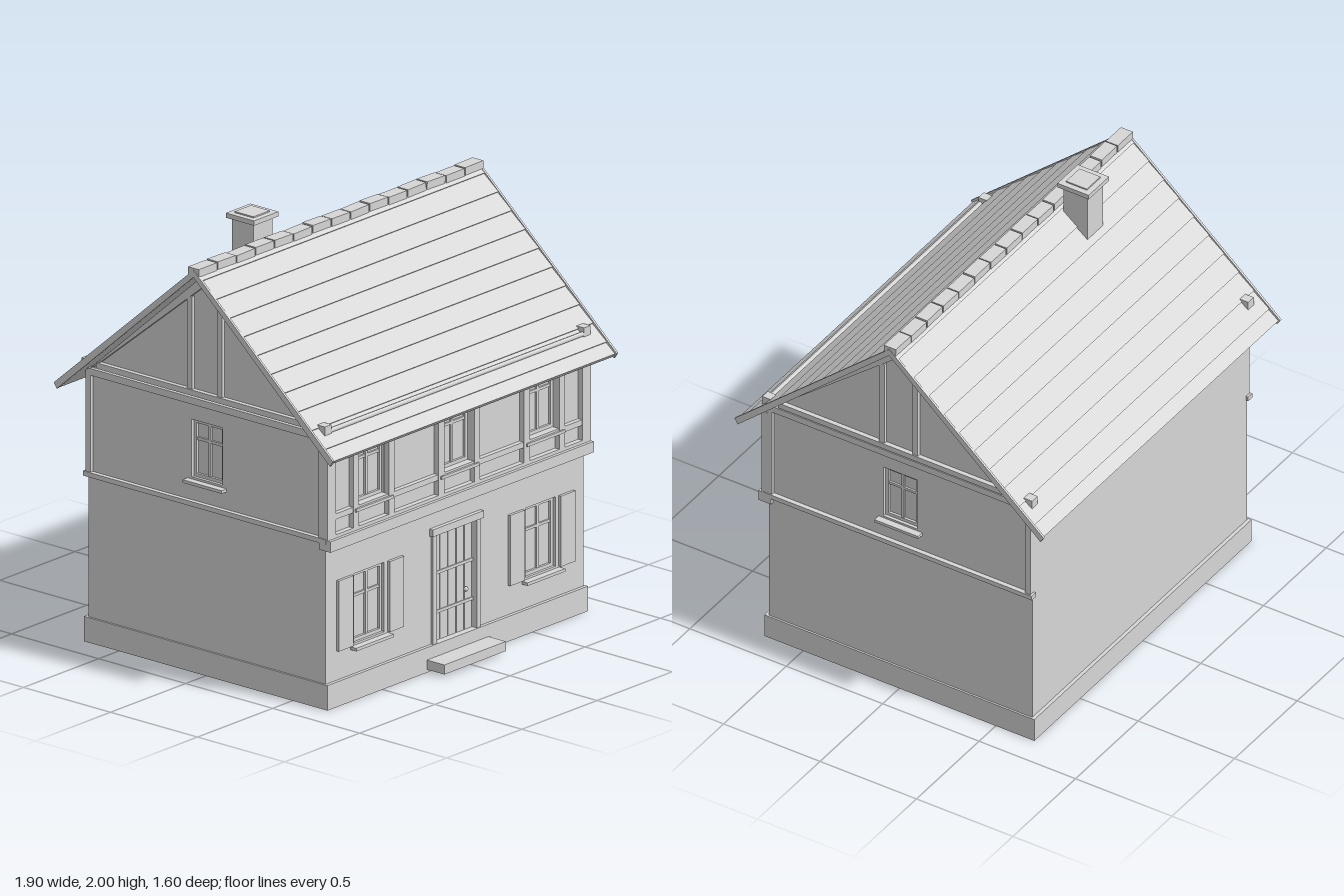
import * as THREE from 'three';

export function createModel() {
  const model = new THREE.Group();
  model.name = 'house';
  const grey = new THREE.MeshStandardMaterial({ color: 0xd6d6d6 });
  grey.name = 'plain grey';

  const add = (name, geometry, parent = model) => {
    const mesh = new THREE.Mesh(geometry, grey);
    mesh.name = name;
    parent.add(mesh);
    return mesh;
  };
  const group = (name, parent = model) => {
    const g = new THREE.Group();
    g.name = name;
    parent.add(g);
    return g;
  };
  // Box between two corners
  const box = (name, x0, x1, y0, y1, z0, z1, parent) =>
    add(name, new THREE.BoxGeometry(x1 - x0, y1 - y0, z1 - z0)
      .translate((x0 + x1) / 2, (y0 + y1) / 2, (z0 + z1) / 2), parent);
  const rect = (x0, x1, y0, y1) => [[x0, y0], [x1, y0], [x1, y1], [x0, y1]]
    .map(([x, y]) => new THREE.Vector2(x, y));
  // Thick plate with holes, its front face at z = 0
  const plate = (points, holes, depth) => {
    const s = new THREE.Shape(points);
    holes.forEach(h => s.holes.push(new THREE.Path(h)));
    return new THREE.ExtrudeGeometry(s, { depth, bevelEnabled: false }).translate(0, 0, -depth);
  };

  const W = 0.857, D = 0.683;          // half width and half depth of the walls
  const T = 0.075;                     // wall thickness
  const SLOPE = 0.8825;                // roof fall per unit of depth
  const WALL_APEX = 1.845;
  const eaveY = WALL_APEX - D * SLOPE;

  // Extrude a (z, y) outline along x
  const alongX = (points, x0, x1) =>
    new THREE.ExtrudeGeometry(new THREE.Shape(points), { depth: x1 - x0, bevelEnabled: false })
      .rotateY(Math.PI / 2).translate(x0, 0, 0);
  // Mirror half an outline about the ridge; it runs from the apex down and round the eave
  const mirrored = (half, apexUnder) => {
    const right = half.map(([z, y]) => new THREE.Vector2(z, y));
    const left = half.slice(1).reverse().map(([z, y]) => new THREE.Vector2(-z, y));
    return [...right, new THREE.Vector2(0, apexUnder), ...left];
  };

  // Thick walls with openings for the windows and the door
  const windowX = [-0.57, 0.57], upperX = [-0.57, 0, 0.57];
  const openings = [
    ...windowX.map(x => rect(x - 0.1, x + 0.1, 0.255, 0.575)),
    ...upperX.map(x => rect(x - 0.1, x + 0.1, 0.895, 1.19)),
    rect(-0.137, 0.137, 0.1, 0.615),
  ];
  add('frontWall', plate(rect(-W, W, 0.004, eaveY), openings, T).translate(0, 0, D));
  add('backWall', plate(rect(-W, W, 0.004, eaveY), [], T).rotateY(Math.PI).translate(0, 0, -D));
  const d = D - 0.001;
  const gableOutline = [[-d, 0.004], [d, 0.004], [d, eaveY], [0, WALL_APEX], [-d, eaveY]]
    .map(([x, y]) => new THREE.Vector2(x, y));
  for (const s of [-1, 1]) {
    add('gableWall', plate(gableOutline, [rect(-0.088, 0.088, 0.895, 1.16)], T)
      .rotateY(s * Math.PI / 2).translate(s * (W + 0.001), 0, 0));
  }

  // Plinth ring
  add('plinth', plate(rect(-0.867, 0.867, -0.7, 0.7), [rect(-0.8, 0.8, -0.63, 0.63)], 0.115)
    .rotateX(-Math.PI / 2).translate(0, 0.115, 0));

  // Window built facing +z around its own centre line, y from 0 to h
  const makeWindow = (w, h) => {
    const g = group('window');
    const f = 0.016, a = w / 2;
    box('glass', -a, a, 0, h, -0.04, -0.026, g);
    for (const s of [-1, 1]) {
      const x = s * (a - f / 2);
      box('frameSide', x - f / 2, x + f / 2, 0, h, -0.038, -0.014, g);
    }
    box('frameBottom', -a + f, a - f, 0, f, -0.038, -0.014, g);
    box('frameTop', -a + f, a - f, h - f, h, -0.038, -0.014, g);
    box('mullion', -0.007, 0.007, f, h - f, -0.03, -0.016, g);
    box('transom', -a + f, a - f, h * 0.64, h * 0.64 + 0.013, -0.03, -0.017, g);
    box('sill', -a - 0.025, a + 0.025, -0.024, -0.01, -0.01, 0.034, g);
    return g;
  };

  // Ground floor windows with shutters
  for (const x of windowX) {
    makeWindow(0.2, 0.32).position.set(x, 0.255, D);
    for (const s of [-1, 1]) {
      const c = x + s * 0.169;
      box('shutter', c - 0.048, c + 0.048, 0.25, 0.575, D - 0.005, D + 0.014);
    }
  }
  // Upper windows
  for (const x of upperX) makeWindow(0.2, 0.295).position.set(x, 0.895, D);

  // Door with planks, battens, frame, knob and step
  const door = group('door');
  box('doorBack', -0.137, 0.137, 0.1, 0.615, 0.64, 0.657, door);
  for (let i = 0; i < 5; i++) {
    const x = -0.132 + i * 0.0533;
    box('plank', x, x + 0.047, 0.115, 0.6, 0.65, 0.667, door);
  }
  for (const y of [0.24, 0.42]) box('batten', -0.132, 0.132, y, y + 0.014, 0.655, 0.672, door);
  for (const s of [-1, 1]) {
    box('doorPost', s * 0.1455 - 0.0125, s * 0.1455 + 0.0125, 0.1, 0.615, 0.64, 0.695, door);
  }
  box('lintel', -0.17, 0.17, 0.615, 0.648, 0.66, 0.703, door);
  add('doorKnob', new THREE.SphereGeometry(0.011, 10, 8).translate(0.08, 0.305, 0.678), door);
  box('doorStep', -0.205, 0.205, 0.014, 0.058, 0.68, 0.8);

  // Timber frame on the front
  const frame = group('frontTimberFrame');
  const F = 0.709;
  box('jettyBeam', -0.876, 0.876, 0.735, 0.785, 0.66, 0.725, frame);
  box('bottomRail', -0.876, 0.876, 0.785, 0.8, D - 0.01, F, frame);
  box('middleRail', -0.876, 0.876, 0.869, 0.895, D - 0.01, F - 0.003, frame);
  box('topRail', -0.876, 0.876, 1.19, 1.225, D - 0.01, F - 0.003, frame);
  for (const s of [-1, 1]) {
    for (const [a, b] of [[0.1, 0.138], [0.431, 0.469], [0.666, 0.704], [0.82, 0.876]]) {
      box('post', Math.min(s * a, s * b), Math.max(s * a, s * b), 0.8, 1.225, D - 0.01, F, frame);
    }
  }

  // Timber frame and window on both gables
  for (const s of [-1, 1]) {
    const gable = group('gableTimberFrame');
    const x0 = s > 0 ? W - 0.01 : -0.874, x1 = s > 0 ? 0.874 : -W + 0.01;
    const grow = s > 0 ? [0, 0.006] : [-0.006, 0];
    box('floorBand', x0 + grow[0], x1 + grow[1], 0.768, 0.79, -0.695, 0.7, gable);
    box('tieBeam', x0, x1, 1.236, 1.268, -D, D, gable);
    box('upperTieBeam', x0 + grow[0], x1 + grow[1], 1.278, 1.305, -0.62, 0.62, gable);
    for (const t of [-1, 1]) {
      box('cornerPost', x0, x1, 0.79, 1.236, t * 0.67 - 0.014, t * 0.67 + 0.014, gable);
      box('gablePost', x0, x1, 1.305, 1.73, t * 0.086 - 0.014, t * 0.086 + 0.014, gable);
    }
    const rafter = mirrored([[0, 1.85], [0.66, 1.85 - 0.66 * SLOPE], [0.63, 1.285]], 1.798);
    add('rafters', alongX(rafter, x0, x1), gable);
    const win = makeWindow(0.176, 0.265);
    win.rotation.y = s * Math.PI / 2;
    win.position.set(s * W, 0.895, 0);
  }

  // Roof with overlapping courses, each ending in a small step
  const APEX = 1.882, LIFT = 0.006, COURSE = 0.0687;
  const half = [[0, APEX]];
  for (let k = 0; k < 10; k++) {
    const y = 1.846 - k * COURSE, z = (APEX - y) / SLOPE;
    half.push([z + LIFT * 0.66, y + LIFT * 0.75], [z, y]);
  }
  half.push([0.793, APEX - 0.793 * SLOPE + 0.005], [0.779, 1.17]);
  add('roof', alongX(mirrored(half, 1.17 + 0.779 * SLOPE), -0.94, 0.94));
  for (const x of [-0.949, 0.938]) {
    const board = mirrored([[0, 1.891], [0.802, 1.191], [0.785, 1.165]], 1.165 + 0.785 * SLOPE);
    add('bargeBoard', alongX(board, x, x + 0.011));
  }

  // Ridge tiles, each slightly out of line
  for (let i = 0; i < 15; i++) {
    const tile = box('ridgeTile', -0.06, 0.06, -0.018, 0.018, -0.031, 0.031);
    tile.position.set(-0.886 + i * 0.1266, 1.881 + 0.002 * Math.sin(i * 2.3), -0.002);
    tile.rotation.z = 0.02 * Math.sin(i * 4.1);
  }

  // Chimney
  const chimney = group('chimney');
  box('stack', -0.49, -0.366, 1.7, 1.975, -0.174, -0.05, chimney);
  box('cap', -0.509, -0.347, 1.972, 1.994, -0.193, -0.031, chimney);
  box('capTop', -0.482, -0.374, 1.994, 2, -0.166, -0.058, chimney);

  // Snow guard: blocks on both slopes, rail on the front
  for (const sx of [-1, 1]) for (const sz of [-1, 1]) {
    const x = sx * 0.862, z = sz * 0.678;
    box('guardBlock', x - 0.022, x + 0.022, 1.27, 1.311, z - 0.022, z + 0.022);
  }
  add('guardRail', new THREE.CylinderGeometry(0.011, 0.011, 1.74, 8)
    .rotateZ(Math.PI / 2).translate(0, 1.281, 0.69));

  return model;
}
